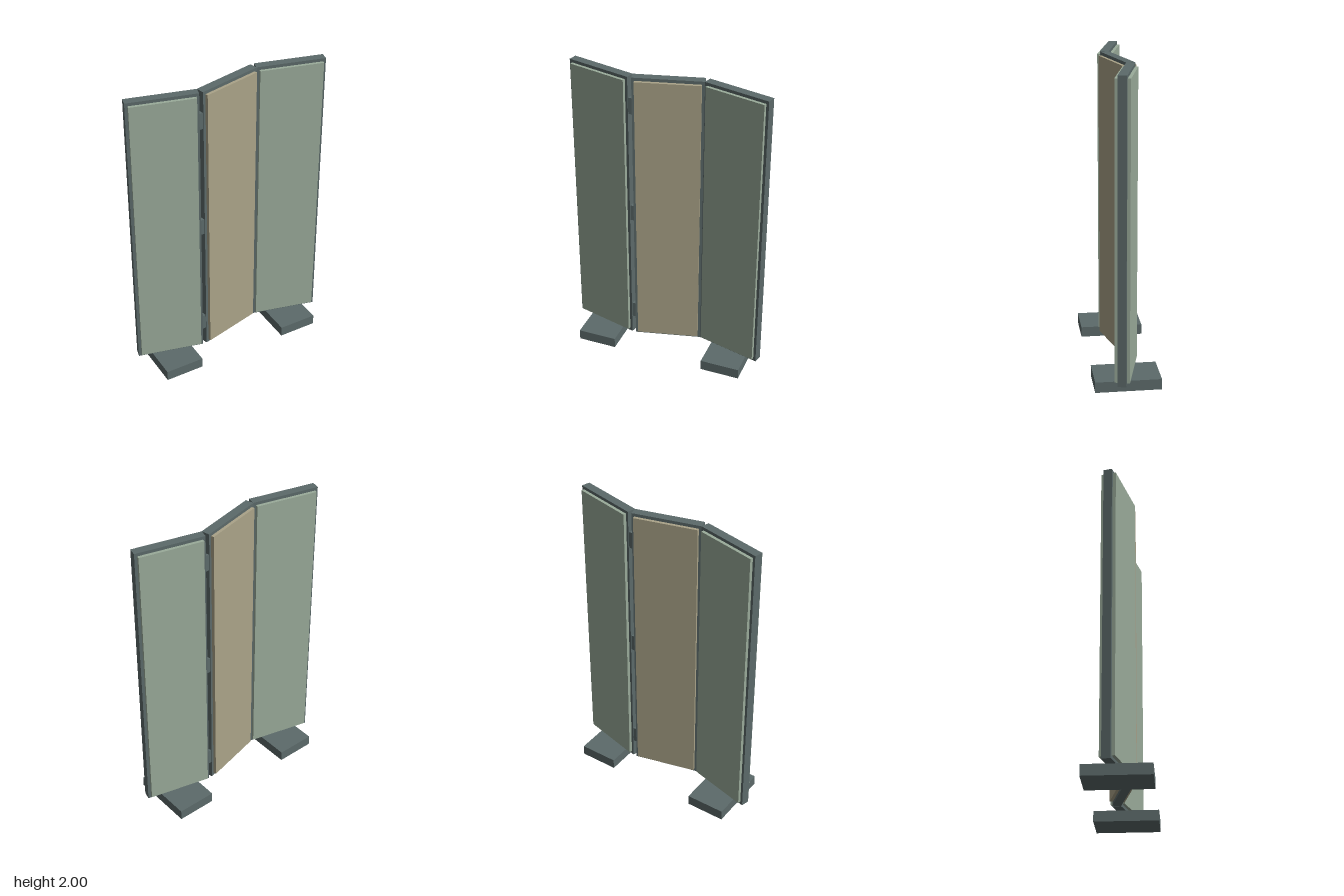
import * as THREE from 'three';

export function createModel() {
  const model = new THREE.Group();
  model.name = 'foldingScreen';

  const mat = (name, color) => {
    const m = new THREE.MeshStandardMaterial({ color });
    m.name = name;
    return m;
  };
  const slate = mat('slate grey', 0x5c6a6a);
  const sage = mat('sage green', 0x9aab9a);
  const tan = mat('warm tan', 0xaaa388);

  const box = (parent, name, material, [w, h, d], [x, y, z]) => {
    const mesh = new THREE.Mesh(new THREE.BoxGeometry(w, h, d), material);
    mesh.name = name;
    mesh.position.set(x, y, z);
    parent.add(mesh);
    return mesh;
  };

  // three zigzag panels, each a frame with a padded board standing proud on both faces
  const fold = THREE.MathUtils.degToRad(14);
  const panels = [
    ['rightPanel', -0.445, -fold, sage],
    ['centrePanel', 0, fold, tan],
    ['leftPanel', 0.445, -fold, sage],
  ];
  for (const [name, x, angle, fabric] of panels) {
    const panel = new THREE.Group();
    panel.name = name;
    panel.position.x = x;
    panel.rotation.y = angle;
    box(panel, 'frame', slate, [0.446, 1.93, 0.056], [0, 1.035, 0]);
    for (const s of [1, -1]) {
      box(panel, s > 0 ? 'frontBoard' : 'backBoard', fabric, [0.41, 1.89, 0.02], [0, 1.035, s * 0.038]);
    }
    model.add(panel);
  }

  for (const s of [-1, 1]) {
    const side = s > 0 ? 'left' : 'right';
    // flat foot under each outer panel
    box(model, side + 'Foot', slate, [0.263, 0.07, 0.42], [s * 0.445, 0.035, 0]);
    // three hinges in the open side of each joint
    for (const y of [0.255, 1.035, 1.805]) {
      box(model, side + 'Hinge', slate, [0.03, 0.11, 0.05], [s * 0.2225, y, -s * 0.052]);
    }
  }

  return model;
}
